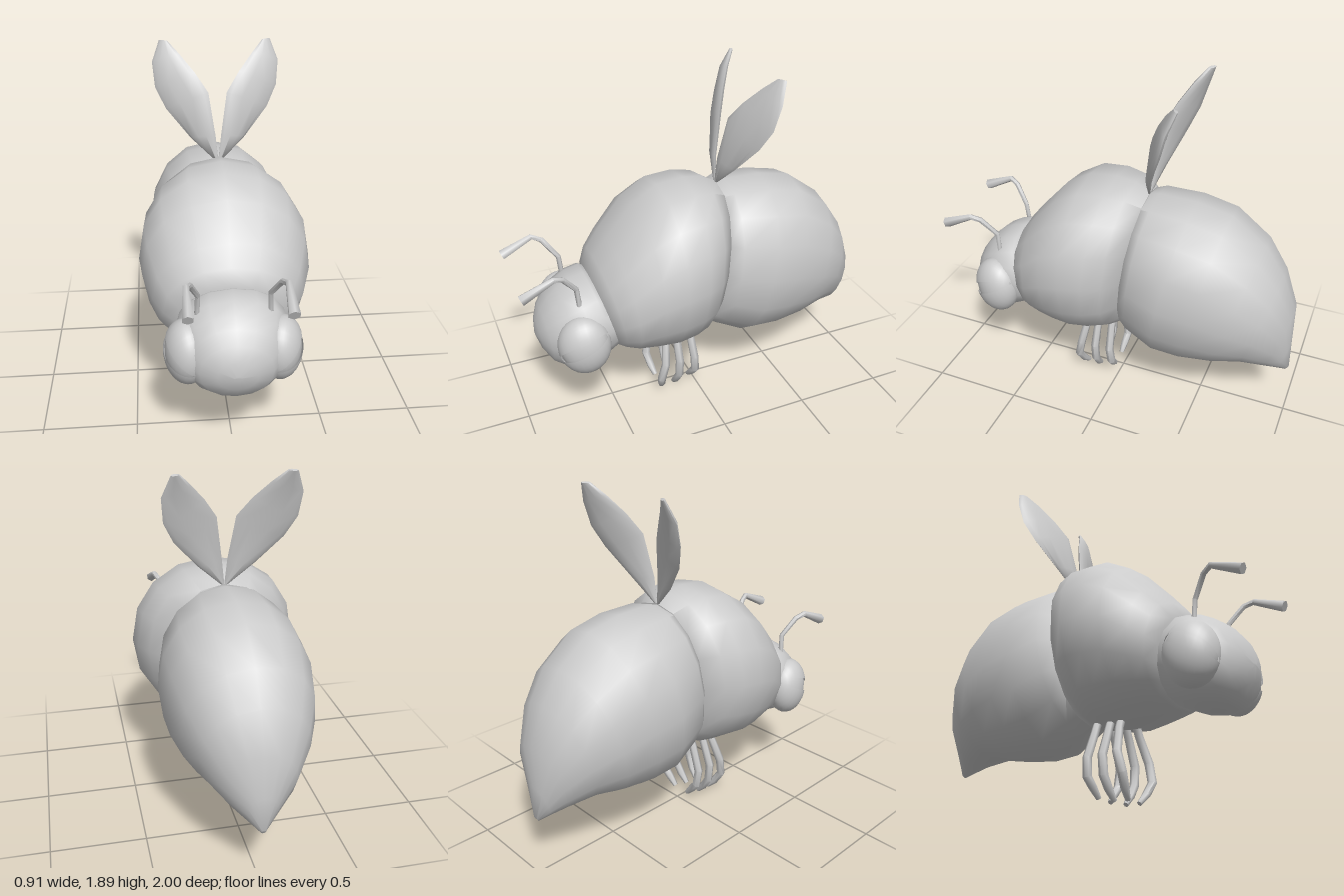
import * as THREE from 'three';
import { toCreasedNormals } from 'three/addons/utils/BufferGeometryUtils.js';

const V = (x, y, z) => new THREE.Vector3(x, y, z);
const material = new THREE.MeshStandardMaterial({ color: 0xcccccc, side: THREE.DoubleSide });

function part(name, geometry) {
  const mesh = new THREE.Mesh(geometry, material);
  mesh.name = name;
  return mesh;
}

// Skin over rings { c: centre, a, b: half axes }, closed at both ends
function loft(rings, sides, power = 2, crease = 1) {
  const pos = [], index = [];
  const bend = (v) => Math.sign(v) * Math.abs(v) ** (2 / power);
  for (const { c, a, b } of rings) {
    for (let j = 0; j < sides; j++) {
      const t = (j / sides) * Math.PI * 2;
      const p = c.clone().addScaledVector(a, bend(Math.cos(t))).addScaledVector(b, bend(Math.sin(t)));
      pos.push(p.x, p.y, p.z);
    }
  }
  const last = rings.length - 1;
  pos.push(...rings[0].c.toArray(), ...rings[last].c.toArray());
  const startCap = rings.length * sides, endCap = startCap + 1;
  const along = rings[last].c.clone().sub(rings[0].c);
  const flip = rings[1].a.clone().cross(rings[1].b).dot(along) < 0;
  const tri = (p, q, r) => (flip ? index.push(p, r, q) : index.push(p, q, r));
  for (let j = 0; j < sides; j++) {
    const k = (j + 1) % sides;
    for (let i = 0; i < last; i++) {
      const r = i * sides, s = r + sides;
      tri(r + j, r + k, s + k);
      tri(r + j, s + k, s + j);
    }
    tri(startCap, k, j);
    tri(endCap, last * sides + j, last * sides + k);
  }
  const g = new THREE.BufferGeometry();
  g.setAttribute('position', new THREE.Float32BufferAttribute(pos, 3));
  g.setIndex(index);
  return toCreasedNormals(g, crease);
}

// Body rings: [top z, top y, bottom z, bottom y, half width]
function body(name, rows) {
  const rings = rows.map(([tz, ty, bz, by, w]) => ({
    c: V(0, (ty + by) / 2, (tz + bz) / 2),
    a: V(w, 0, 0),
    b: V(0, (ty - by) / 2, (tz - bz) / 2),
  }));
  return part(name, loft(rings, 16, 2.15, 1.1));
}

// Tapered limb along points [x, y, z, radius]
function limb(name, rows, ref) {
  const pts = rows.map(([x, y, z]) => V(x, y, z));
  const rings = rows.map((row, i) => {
    const t = pts[Math.min(i + 1, pts.length - 1)].clone().sub(pts[Math.max(i - 1, 0)]).normalize();
    const a = t.clone().cross(ref).normalize();
    const b = t.clone().cross(a);
    return { c: pts[i], a: a.multiplyScalar(row[3]), b: b.multiplyScalar(row[3]) };
  });
  return part(name, loft(rings, 6, 2, 1.1));
}

// Eyeball or eyelid: a slice of an ellipsoid with its poles at the eye corners
function eyePart(name, scale, phiStart, phiLength) {
  const g = new THREE.SphereGeometry(1, 20, 14, phiStart, phiLength);
  g.rotateX(Math.PI / 2);
  g.rotateX(0.4);
  g.scale(0.11 * scale, 0.17 * scale, 0.14 * scale);
  g.rotateY(-0.3);
  g.translate(0.235, 0.6, 0.7);
  return part(name, g);
}

function wing() {
  // [inner edge x, y, z, outer edge x, y, z, half thickness]
  const rows = [
    [0, 1.28, -0.145, 0.02, 1.28, -0.15, 0.006],
    [0.015, 1.42, -0.15, 0.15, 1.4, -0.19, 0.018],
    [0.05, 1.65, -0.19, 0.28, 1.55, -0.255, 0.024],
    [0.12, 1.75, -0.24, 0.335, 1.66, -0.3, 0.022],
    [0.2, 1.84, -0.3, 0.347, 1.79, -0.335, 0.018],
    [0.26, 1.9, -0.35, 0.305, 1.9, -0.375, 0.01],
  ];
  const rings = rows.map(([x, y, z, u, v, w, h]) => {
    const inner = V(x, y, z), outer = V(u, v, w);
    return {
      c: inner.clone().add(outer).multiplyScalar(0.5),
      a: outer.sub(inner).multiplyScalar(0.5),
      b: V(0.25, 0.3, 0.92).normalize().multiplyScalar(h),
    };
  });
  return part('wing', loft(rings, 10, 2, 1.2));
}

// Everything that comes in pairs, made for the +x side
function side(name) {
  const g = new THREE.Group();
  g.name = name;
  g.add(
    wing(),
    eyePart('eyeball', 0.93, 0, Math.PI * 2),
    eyePart('upperEyelid', 1, Math.PI + 0.4, Math.PI - 0.4),
    eyePart('lowerEyelid', 1, 0, Math.PI - 0.05),
    limb('antenna', [
      [0.18, 0.8, 0.695, 0.014], [0.175, 0.91, 0.705, 0.014], [0.215, 1.01, 0.78, 0.015],
      [0.235, 1.03, 0.83, 0.017], [0.236, 0.955, 0.995, 0.03],
    ], V(1, 0, 0)),
  );
  // Legs: [hip z, knee z, foot z, foot y]
  const legs = [[0.19, 0.235, 0.21, 0.02], [0.125, 0.125, 0.13, 0.025], [0.04, 0.025, 0.035, 0.05]];
  legs.forEach(([hip, knee, foot, y], i) => g.add(limb(['frontLeg', 'middleLeg', 'backLeg'][i], [
    [0.06, 0.45, hip, 0.022], [0.09, 0.38, hip, 0.022], [0.145, 0.24, (hip + knee) / 2, 0.024],
    [0.135, 0.13 + y * 0.3, knee, 0.024], [0.095, 0.05 + y, (knee + foot) / 2, 0.022], [0.05, y, foot, 0.014],
  ], V(0, 0, 1))));
  return g;
}

export function createModel() {
  const model = new THREE.Group();
  model.name = 'bee';
  model.add(
    body('head', [
      [0.57, 0.87, 0.47, 0.47, 0.26], [0.62, 0.89, 0.52, 0.44, 0.28], [0.7, 0.87, 0.6, 0.4, 0.29],
      [0.77, 0.83, 0.7, 0.38, 0.27], [0.82, 0.785, 0.78, 0.385, 0.235], [0.87, 0.72, 0.84, 0.42, 0.18],
      [0.9, 0.65, 0.885, 0.49, 0.1], [0.91, 0.58, 0.908, 0.56, 0.02],
    ]),
    body('thorax', [
      [0.6, 0.89, 0.49, 0.46, 0.28], [0.56, 0.97, 0.46, 0.45, 0.34], [0.48, 1.07, 0.4, 0.43, 0.39],
      [0.33, 1.24, 0.3, 0.415, 0.44], [0.19, 1.325, 0.2, 0.4, 0.455], [0.04, 1.34, 0.1, 0.41, 0.44],
      [-0.07, 1.325, 0.02, 0.42, 0.39], [-0.15, 1.28, -0.05, 0.45, 0.3],
    ]),
    body('abdomen', [
      [-0.14, 1.27, -0.04, 0.45, 0.3], [-0.2, 1.285, -0.1, 0.42, 0.355], [-0.41, 1.28, -0.25, 0.34, 0.39],
      [-0.6, 1.24, -0.4, 0.33, 0.38], [-0.79, 1.1, -0.57, 0.355, 0.34], [-0.9, 0.94, -0.73, 0.39, 0.275],
      [-0.98, 0.74, -0.86, 0.37, 0.18], [-0.988, 0.52, -0.93, 0.34, 0.08], [-0.995, 0.35, -0.975, 0.32, 0.012],
    ]),
  );
  const left = side('leftSide'), right = side('rightSide');
  right.scale.x = -1;
  model.add(left, right);
  return model;
}
